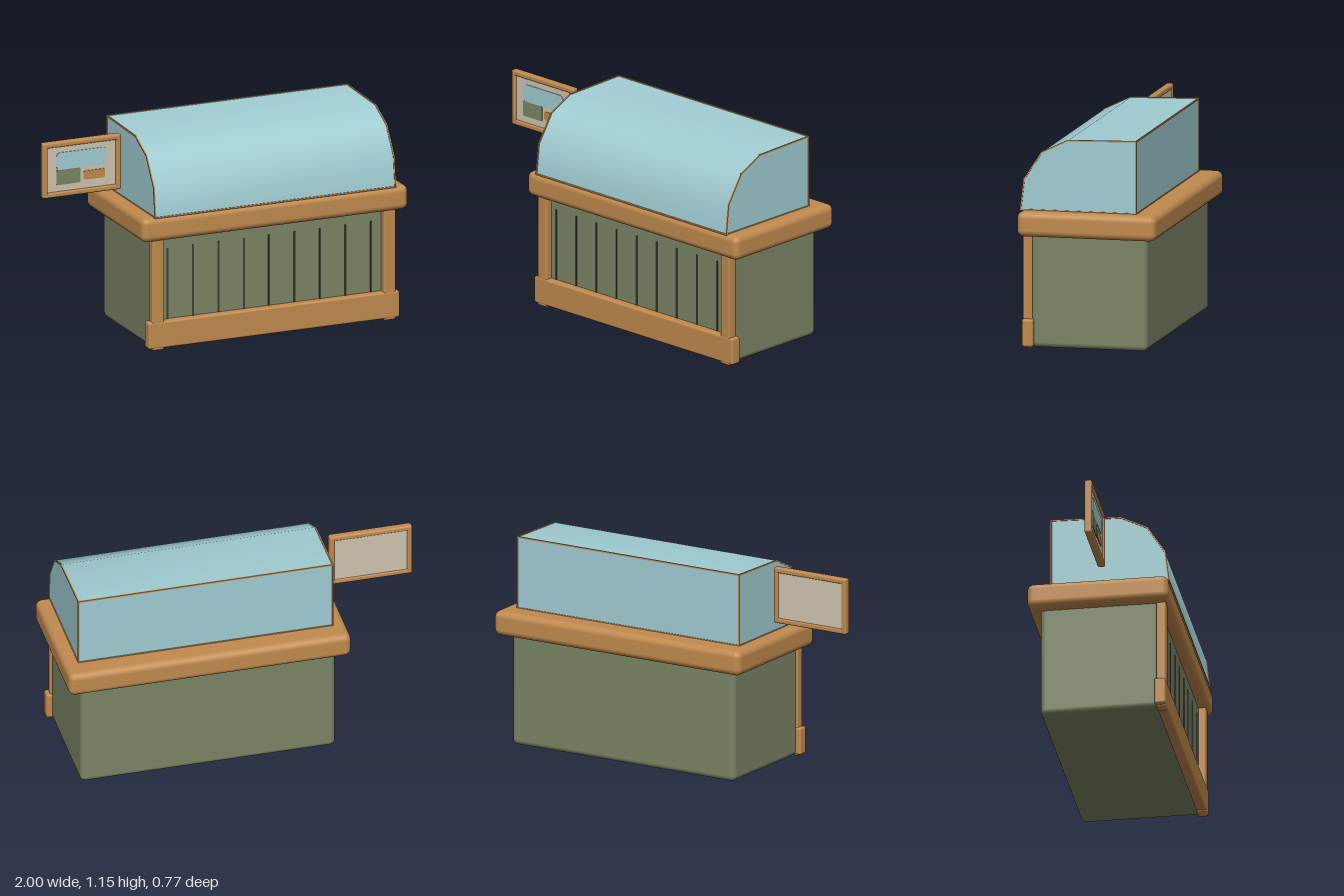
import * as THREE from 'three';
import { RoundedBoxGeometry } from 'three/addons/geometries/RoundedBoxGeometry.js';

const material = (name, color, side = THREE.FrontSide) => {
  const m = new THREE.MeshStandardMaterial({ color, side });
  m.name = name;
  return m;
};

export function createModel() {
  const wood = material('wood', 0xc08a4e);
  const green = material('sage green', 0x7a8464);
  const dark = material('dark groove', 0x3a4232);
  const glass = material('pale blue glass', 0xa0cdd3, THREE.DoubleSide);
  const cream = material('cream board', 0xcfc4b0);
  const model = new THREE.Group();

  const add = (name, geometry, mat, parent = model) => {
    const mesh = new THREE.Mesh(geometry, mat);
    mesh.name = name;
    parent.add(mesh);
    return mesh;
  };
  // Rounded block given by its minimum and maximum on each axis
  const block = (name, [x0, x1], [y0, y1], [z0, z1], radius, mat, parent) => {
    const mesh = add(name, new RoundedBoxGeometry(x1 - x0, y1 - y0, z1 - z0, 3, radius), mat, parent);
    mesh.position.set((x0 + x1) / 2, (y0 + y1) / 2, (z0 + z1) / 2);
    return mesh;
  };

  // Counter body, worktop and front woodwork
  block('cabinet', [-0.492, 0.922], [0.003, 0.64], [-0.322, 0.322], 0.03, green);
  block('worktop', [-0.565, 1.0], [0.615, 0.752], [-0.385, 0.382], 0.036, wood);
  block('baseboard', [-0.522, 0.953], [0.01, 0.16], [0.302, 0.364], 0.012, wood);
  for (const x of [-0.465, 0.895])
    block('cornerPost', [x - 0.035, x + 0.035], [0, 0.625], [0.31, 0.362], 0.01, wood);

  // Vertical grooves in the front panel
  for (let i = 0; i < 9; i++) {
    const groove = add('panelGroove', new THREE.BoxGeometry(0.01, 0.455, 0.008), dark);
    groove.position.set(-0.396 + i * 0.1496, 0.33, 0.322);
  }

  // Glass hood: section as [z, y] from the top back edge to the front foot
  const section = [[-0.263, 1.147], [0.115, 1.138], [0.26, 1.068], [0.357, 0.918], [0.376, 0.752]];
  const left = 0.92, right = -0.49, foot = 0.752;
  const hood = new THREE.Group();
  hood.name = 'glassHood';
  model.add(hood);

  const sheet = new THREE.PlaneGeometry(1, 1, 1, section.length - 1);
  const pos = sheet.attributes.position;
  for (let i = 0; i < pos.count; i++) {
    const [z, y] = section[Math.floor(i / 2)];
    pos.setXYZ(i, i % 2 ? left : right, y, z);
  }
  sheet.computeVertexNormals();
  add('curvedGlass', sheet, glass, hood);

  const outline = [...section, [-0.263, foot]];
  for (const side of [1, -1]) {
    const shape = new THREE.Shape(outline.map(([z, y]) => new THREE.Vector2(-side * z, y)));
    const end = add('endGlass', new THREE.ShapeGeometry(shape), glass, hood);
    end.rotation.y = side * Math.PI / 2;
    end.position.x = side > 0 ? left : right;
  }
  const back = add('backGlass', new THREE.PlaneGeometry(left - right, 1.147 - foot), glass, hood);
  back.rotation.y = Math.PI;
  back.position.set((left + right) / 2, (1.147 + foot) / 2, -0.263);

  // Thin edging around both ends and along the long edges
  const rod = (a, b) => {
    const from = new THREE.Vector3(...a), to = new THREE.Vector3(...b);
    const mesh = add('hoodEdging', new THREE.BoxGeometry(0.008, 0.008, from.distanceTo(to) + 0.006), wood, hood);
    mesh.position.copy(from).add(to).multiplyScalar(0.5);
    mesh.lookAt(to);
  };
  outline.forEach(([z, y], i) => {
    const [z2, y2] = outline[(i + 1) % outline.length];
    for (const x of [left, right]) rod([x, y, z], [x, y2, z2]);
  });
  for (const i of [0, 4, 5]) {
    const [z, y] = outline[i];
    rod([right, y, z], [left, y, z]);
  }

  // Sign board with a wooden frame
  const sign = new THREE.Group();
  sign.name = 'sign';
  model.add(sign);
  block('signBoard', [-0.98, -0.56], [0.845, 1.12], [0.006, 0.03], 0.004, cream, sign);
  for (const y of [0.826, 1.106])
    block('signRail', [-1.0, -0.54], [y, y + 0.03], [0, 0.04], 0.01, wood, sign);
  for (const x of [-1.0, -0.57])
    block('signStile', [x, x + 0.03], [0.83, 1.132], [0, 0.04], 0.01, wood, sign);

  // Painted picture on the sign: thin plates with rounded corners
  const plate = (name, [x0, x1], [y0, y1], r, z, mat) => {
    const s = new THREE.Shape();
    s.absarc(x1 - r, y1 - r, r, 0, Math.PI / 2);
    s.absarc(x0 + r, y1 - r, r, Math.PI / 2, Math.PI);
    s.absarc(x0 + r, y0 + r, r, Math.PI, Math.PI * 1.5);
    s.absarc(x1 - r, y0 + r, r, Math.PI * 1.5, Math.PI * 2);
    const g = new THREE.ExtrudeGeometry(s, { depth: 0.004, bevelEnabled: false, curveSegments: 4 });
    add(name, g, mat, sign).position.z = z;
  };
  plate('paintedHood', [-0.918, -0.625], [0.977, 1.074], 0.02, 0.03, glass);
  plate('paintedCabinet', [-0.918, -0.778], [0.893, 0.977], 0.006, 0.03, green);
  plate('paintedLabel', [-0.76, -0.633], [0.904, 0.954], 0.01, 0.03, wood);

  return model;
}
